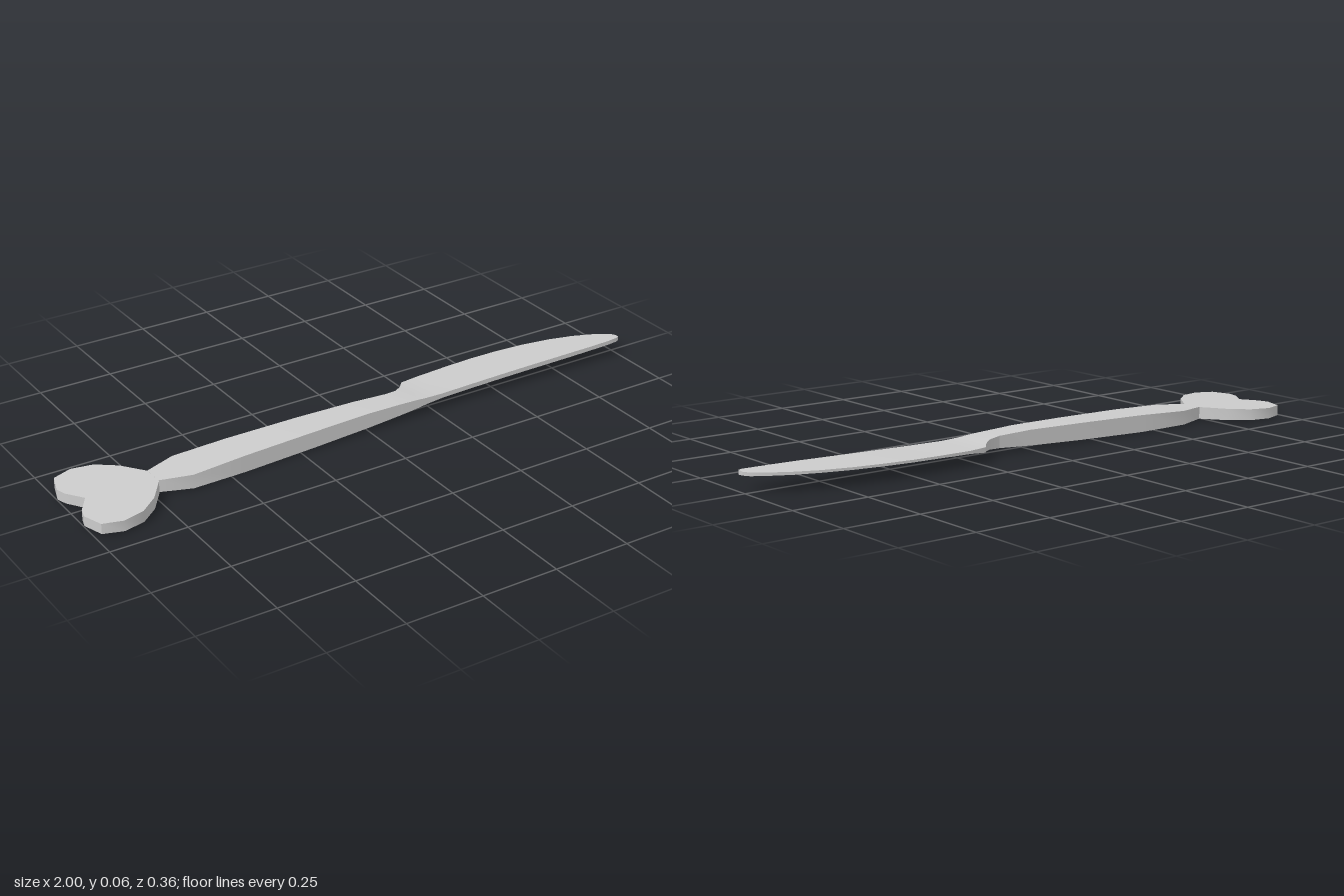
import * as THREE from 'three';
import { toCreasedNormals } from 'three/addons/utils/BufferGeometryUtils.js';

// Four-cornered cross-sections along x: [x, zBack, zFront, backLow, backHigh, frontLow, frontHigh]
function loft(stations) {
  const pos = [], index = [];
  for (const [x, zb, zf, bl, bh, fl, fh] of stations) {
    pos.push(x, fl, zf, x, fh, zf, x, bh, zb, x, bl, zb);
  }
  for (let i = 0; i < stations.length - 1; i++) {
    for (let k = 0; k < 4; k++) {
      const a = i * 4 + k, b = i * 4 + (k + 1) % 4;
      index.push(a, a + 4, b, b, a + 4, b + 4);
    }
  }
  const e = (stations.length - 1) * 4;
  index.push(0, 1, 2, 0, 2, 3, e, e + 2, e + 1, e, e + 3, e + 2);
  const g = new THREE.BufferGeometry();
  g.setAttribute('position', new THREE.Float32BufferAttribute(pos, 3));
  g.setIndex(index);
  return toCreasedNormals(g, 0.6);
}

export function createModel() {
  const group = new THREE.Group();
  const material = new THREE.MeshStandardMaterial({ color: 0xcccccc, side: THREE.DoubleSide });
  const add = (name, geometry) => {
    const mesh = new THREE.Mesh(geometry, material);
    mesh.name = name;
    group.add(mesh);
  };

  // Heart-shaped end: one lobe mirrored, top rising slightly towards the handle
  const lobe = [[-0.73, 0.037], [-0.785, 0.113], [-0.845, 0.162], [-0.915, 0.178],
    [-0.978, 0.157], [-1, 0.09], [-0.99, 0.056]];
  const outline = [...lobe, [-0.952, 0], ...lobe.map(([x, z]) => [x, -z]).reverse()];
  const heart = new THREE.ExtrudeGeometry(
    new THREE.Shape(outline.map(([x, z]) => new THREE.Vector2(x, z))),
    { depth: 1, bevelEnabled: false });
  heart.rotateX(-Math.PI / 2);
  const p = heart.attributes.position;
  for (let i = 0; i < p.count; i++) {
    p.setY(i, p.getY(i) > 0.5 ? 0.037 + (p.getX(i) + 1) * 0.024 : 0.004);
  }
  add('heartEnd', toCreasedNormals(heart, 0.6));

  // Handle: plain rectangular section, bowed upwards
  const handle = [
    [-0.73, -0.037, 0.033, 0.004, 0.044],
    [-0.63, -0.07, 0.066, 0.002, 0.048],
    [-0.45, -0.066, 0.06, 0, 0.056],
    [-0.2, -0.058, 0.052, 0.006, 0.061],
    [0, -0.048, 0.045, 0.013, 0.063],
    [0.12, -0.044, 0.041, 0.02, 0.059],
  ].map(([x, b, f, lo, hi]) => [x, b, f, lo, hi, lo, hi]);
  add('handle', loft(handle));

  // Blade: thicker spine in front, thin curved cutting edge behind
  add('blade', loft([
    handle[handle.length - 1],
    [0.165, -0.053, 0.04, 0.023, 0.055, 0.024, 0.057],
    [0.195, -0.075, 0.039, 0.026, 0.051, 0.027, 0.055],
    [0.22, -0.104, 0.038, 0.03, 0.047, 0.03, 0.053],
    [0.28, -0.113, 0.037, 0.036, 0.046, 0.035, 0.051],
    [0.4, -0.119, 0.036, 0.04, 0.048, 0.038, 0.053],
    [0.5, -0.121, 0.036, 0.042, 0.05, 0.04, 0.055],
    [0.6, -0.117, 0.037, 0.044, 0.052, 0.042, 0.057],
    [0.7, -0.107, 0.039, 0.046, 0.054, 0.044, 0.059],
    [0.8, -0.088, 0.041, 0.048, 0.056, 0.046, 0.061],
    [0.88, -0.063, 0.042, 0.049, 0.058, 0.048, 0.062],
    [0.95, -0.031, 0.041, 0.05, 0.06, 0.049, 0.063],
    [0.985, -0.007, 0.039, 0.05, 0.061, 0.05, 0.064],
    [1, 0.01, 0.033, 0.051, 0.062, 0.05, 0.064],
  ]));
  return group;
}
